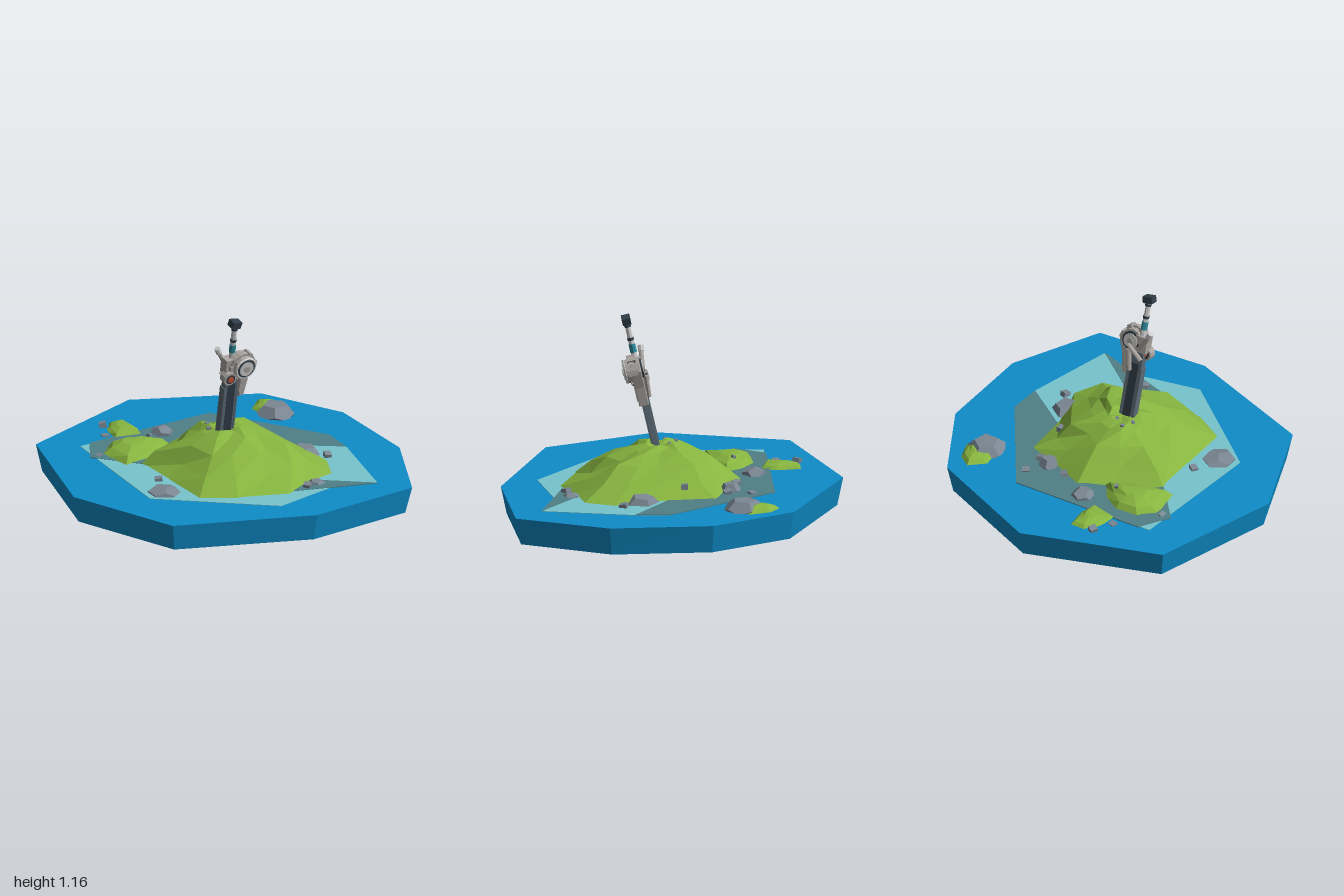
import * as THREE from 'three';

const mat = (color, extra = {}) =>
  new THREE.MeshStandardMaterial({ color, flatShading: true, ...extra });
const water = mat(0x0e8cc8), shoal = mat(0x78c4cc), wet = mat(0x4f7f86);
const grass = mat(0x87b53f), stone = mat(0x7b8793);
const steel = mat(0x5c6b76), dark = mat(0x303d48), metal = mat(0xa9a4a0), pale = mat(0xbcc0be);
const teal = mat(0x2f8c9c), red = mat(0xc9502f);

// The water surface leans a little towards the front left
const surface = (x, z) => 0.178 - 0.008 * x - 0.012 * z;

function add(parent, name, geometry, material, pos = [0, 0, 0], rot = [0, 0, 0]) {
  const m = new THREE.Mesh(geometry, material);
  m.name = name;
  m.position.set(...pos);
  m.rotation.set(...rot);
  parent.add(m);
  return m;
}

// Joins rings of [x, y, z] from bottom to top and closes both ends with fans
function loft(rings, tip) {
  const p = [], n = rings[0].length;
  const mid = r => [0, 1, 2].map(k => r.reduce((s, v) => s + v[k], 0) / n);
  const low = mid(rings[0]), last = rings[rings.length - 1], high = tip || mid(last);
  for (let i = 0; i < n; i++) {
    const j = (i + 1) % n;
    p.push(...low, ...rings[0][i], ...rings[0][j]);
    for (let k = 0; k < rings.length - 1; k++) {
      const a = rings[k], b = rings[k + 1];
      p.push(...a[i], ...b[i], ...a[j], ...a[j], ...b[i], ...b[j]);
    }
    p.push(...high, ...last[j], ...last[i]);
  }
  const g = new THREE.BufferGeometry();
  g.setAttribute('position', new THREE.Float32BufferAttribute(p, 3));
  g.computeVertexNormals();
  return g;
}

// Thin sheet lying on the water
const sheet = (outline, lift) => loft([0, lift].map(h =>
  outline.map(([x, z]) => [x, surface(x, z) + h])
    .map(([x, y], i) => [x, y, outline[i][1]])));

// Faceted mound: the outline shrinks towards a centre along [scale, height] steps
function mound(outline, [cx, cz], steps, tipY, rough) {
  const rings = steps.map(([s, y], k) => outline.map(([x, z], i) => {
    const w = k ? Math.sin(i * 2.4 + k * 1.9) : 0;
    const f = s * (1 + 0.09 * w);
    return [cx + (x - cx) * f, y + rough * w, cz + (z - cz) * f];
  }));
  return loft(rings, [cx, tipY, cz]);
}

// Rod between two points
function rod(parent, name, a, b, r0, r1, material, sides = 8) {
  const A = new THREE.Vector3(...a), B = new THREE.Vector3(...b), d = B.clone().sub(A);
  const m = add(parent, name, new THREE.CylinderGeometry(r1, r0, d.length(), sides), material);
  m.position.copy(A).add(B).multiplyScalar(0.5);
  m.quaternion.setFromUnitVectors(new THREE.Vector3(0, 1, 0), d.normalize());
  return m;
}

// Flat shape with thickness, centred on z
function plate(points, depth) {
  const s = new THREE.Shape(points.map(q => new THREE.Vector2(...q)));
  return new THREE.ExtrudeGeometry(s, {
    depth, bevelEnabled: true, bevelSize: 0.004, bevelThickness: 0.004, bevelSegments: 1
  }).translate(0, 0, -depth / 2);
}

function buildSword() {
  const g = new THREE.Group();
  g.name = 'sword';

  // Blade with a recessed-looking stripe on each face
  add(g, 'blade', plate([[-0.05, -0.08], [0.048, -0.08], [0.044, 0.4], [0.02, 0.5],
    [-0.02, 0.5], [-0.038, 0.4]], 0.032), steel);
  for (const s of [-1, 1]) {
    add(g, 'bladeStripe', new THREE.BoxGeometry(0.05, 0.38, 0.004), dark, [0.002, 0.15, s * 0.021]);
    add(g, 'bladeEdge', new THREE.BoxGeometry(0.01, 0.36, 0.048), steel, [s * 0.043, 0.14, 0]);
  }

  // Hub drum with stacked rims, facing forward
  const hub = new THREE.Group();
  hub.name = 'hub';
  hub.position.set(0.052, 0.47, 0.025);
  hub.rotation.x = Math.PI / 2;
  g.add(hub);
  for (const [r, len, y, m] of [[0.07, 0.09, 0, metal], [0.082, 0.03, 0.005, metal],
    [0.058, 0.11, 0, dark], [0.046, 0.12, 0, pale], [0.02, 0.13, 0, metal]])
    add(hub, 'hubDisc', new THREE.CylinderGeometry(r, r, len, 14), m, [0, y, 0]);
  add(hub, 'hubRim', new THREE.TorusGeometry(0.062, 0.01, 5, 14), pale, [0, 0.046, 0], [Math.PI / 2, 0, 0]);
  for (let i = 0; i < 6; i++) {
    const a = i * Math.PI / 3;
    add(hub, 'hubLug', new THREE.BoxGeometry(0.022, 0.05, 0.03), metal,
      [0.077 * Math.cos(a), 0, 0.077 * Math.sin(a)], [0, -a, 0]);
  }

  // Small side dial with a red core
  const dial = new THREE.Group();
  dial.name = 'dial';
  dial.position.set(-0.034, 0.405, 0.03);
  dial.rotation.x = Math.PI / 2;
  g.add(dial);
  for (const [r, len, m] of [[0.042, 0.05, metal], [0.03, 0.056, dark], [0.019, 0.064, red]])
    add(dial, 'dialDisc', new THREE.CylinderGeometry(r, r, len, 12), m);

  // Collar, side bracket and lower housing
  add(g, 'collar', new THREE.BoxGeometry(0.1, 0.1, 0.06), metal, [-0.005, 0.47, 0]);
  add(g, 'bracket', plate([[0.052, 0.255], [0.078, 0.26], [0.098, 0.37], [0.135, 0.47],
    [0.12, 0.51], [0.04, 0.4]], 0.05), metal, [0, 0, 0.01]);
  add(g, 'housing', new THREE.BoxGeometry(0.035, 0.1, 0.065), metal, [0.062, 0.34, 0.012], [0, 0, -0.12]);
  add(g, 'housingLight', new THREE.BoxGeometry(0.012, 0.045, 0.02), red, [0.083, 0.31, 0.018], [0, 0, -0.15]);

  // Levers and pipes
  rod(g, 'lever', [-0.015, 0.44, -0.025], [-0.075, 0.56, -0.045], 0.016, 0.012, metal);
  rod(g, 'leverCap', [-0.066, 0.54, -0.042], [-0.08, 0.572, -0.047], 0.018, 0.018, pale);
  rod(g, 'pipe', [-0.04, 0.38, -0.04], [0.06, 0.45, -0.04], 0.014, 0.014, metal);
  rod(g, 'pipe', [0.03, 0.29, -0.028], [0.05, 0.42, -0.038], 0.014, 0.014, metal);

  // Grip and pommel
  rod(g, 'grip', [-0.004, 0.48, 0], [-0.006, 0.75, 0], 0.018, 0.015, pale);
  rod(g, 'gripBand', [-0.005, 0.56, 0], [-0.005, 0.61, 0], 0.02, 0.019, teal);
  for (const y of [0.64, 0.72])
    add(g, 'gripRing', new THREE.CylinderGeometry(0.019, 0.019, 0.016, 8), dark, [-0.005, y, 0]);
  add(g, 'pommel', new THREE.BoxGeometry(0.062, 0.04, 0.05), dark, [-0.006, 0.755, 0], [0, 0, -0.25]);

  g.position.set(0, 0.39, 0.09);
  g.rotation.set(0.225, 0, 0.04);
  return g;
}

export function createModel() {
  const root = new THREE.Group();
  root.name = 'swordIsland';

  // Water slab, narrower at the bottom
  const rim = [[0.04, -0.99], [0.745, -0.675], [1, -0.2], [1, 0.4], [0.745, 0.93],
    [0.06, 0.985], [-0.74, 0.69], [-1, 0.04], [-0.77, -0.72]];
  add(root, 'water', loft([
    rim.map(([x, z]) => [x * 0.965, Math.max(0, 0.014 - 0.01 * x - 0.011 * z), z * 0.965]),
    rim.map(([x, z]) => [x, surface(x, z), z])]), water);

  // Shallows with darker wet patches
  add(root, 'shallows', sheet([[-0.57, -0.56], [0.33, -0.57], [0.75, 0.04], [0.74, 0.24],
    [0.61, 0.77], [0.34, 0.69], [-0.05, 0.77], [-0.64, 0.29]], 0.003), shoal);
  add(root, 'wetPatch', sheet([[-0.61, -0.39], [-0.5, -0.57], [0.33, -0.585], [0.75, 0.04],
    [0.74, 0.24], [0.45, -0.1], [0, -0.15], [-0.4, -0.15]], 0.005), wet);
  add(root, 'wetPatch', sheet([[0.1, 0.62], [0.32, 0.55], [0.61, 0.775]], 0.005), wet);

  // Main hill
  add(root, 'hill', mound([[-0.42, -0.17], [-0.2, -0.33], [0.03, -0.42], [0.25, -0.32],
    [0.46, -0.25], [0.47, 0.1], [0.54, 0.35], [0.46, 0.52], [0.27, 0.56], [0.09, 0.65],
    [-0.2, 0.55], [-0.4, 0.44], [-0.41, 0.1]], [0.02, 0.06],
  [[1, 0.17], [0.76, 0.25], [0.52, 0.335], [0.3, 0.385], [0.16, 0.407]], 0.392, 0.009), grass);

  // Lesser grassy mounds
  const mounds = [
    [[[-0.5, -0.18], [-0.54, -0.4], [-0.44, -0.49], [-0.29, -0.5], [-0.16, -0.42],
      [-0.1, -0.32], [-0.25, -0.2]], [-0.33, -0.36], 0.25],
    [[[-0.34, -0.55], [-0.32, -0.7], [-0.25, -0.77], [-0.15, -0.77], [-0.13, -0.6],
      [-0.17, -0.51]], [-0.22, -0.65], 0.22],
    [[[0.58, -0.44], [0.57, -0.52], [0.66, -0.6], [0.74, -0.54], [0.78, -0.42],
      [0.72, -0.34]], [0.68, -0.48], 0.215]];
  for (const [outline, c, top] of mounds)
    add(root, 'smallMound', mound(outline, c,
      [[1, 0.175], [0.7, 0.175 + (top - 0.175) * 0.65], [0.35, top - 0.003]], top, 0.003), grass);

  // Boulders: x, z, radius, height above the ground, ground height
  const boulders = [[0.66, -0.39, 0.115, 0.07], [-0.06, -0.48, 0.07, 0.05],
    [0.27, -0.33, 0.06, 0.06], [0.48, 0.19, 0.095, 0.055], [-0.52, 0.25, 0.1, 0.035],
    [0.31, 0.59, 0.05, 0.025]];
  boulders.forEach(([x, z, r, h], i) => {
    const geo = new THREE.DodecahedronGeometry(1, 0);
    geo.rotateX(0.5 + i).rotateY(i * 1.7).scale(r, h, r * 1.05);
    add(root, 'boulder', geo, stone, [x, surface(x, z), z]);
  });

  // Pebbles on the shore and on the hill
  const pebbles = [[-0.55, -0.39, 0.18], [-0.36, -0.62, 0.18], [-0.3, -0.74, 0.2],
    [0.14, -0.37, 0.19], [0.35, -0.45, 0.18], [0.34, -0.31, 0.19], [0.36, -0.06, 0.235],
    [0.57, 0.3, 0.18], [-0.45, 0.09, 0.185], [0.23, 0.615, 0.18], [-0.22, -0.37, 0.25],
    [-0.04, -0.03, 0.4], [0.025, 0.01, 0.4], [-0.07, 0.03, 0.4]];
  pebbles.forEach(([x, z, y], i) => {
    const s = i > 9 ? 0.02 : 0.04;
    add(root, 'pebble', new THREE.BoxGeometry(s, s * 0.8, s * 1.1), stone,
      [x, y, z], [0.3 * Math.sin(i * 3), i * 1.3, 0.3 * Math.cos(i * 2)]);
  });

  root.add(buildSword());
  return root;
}
